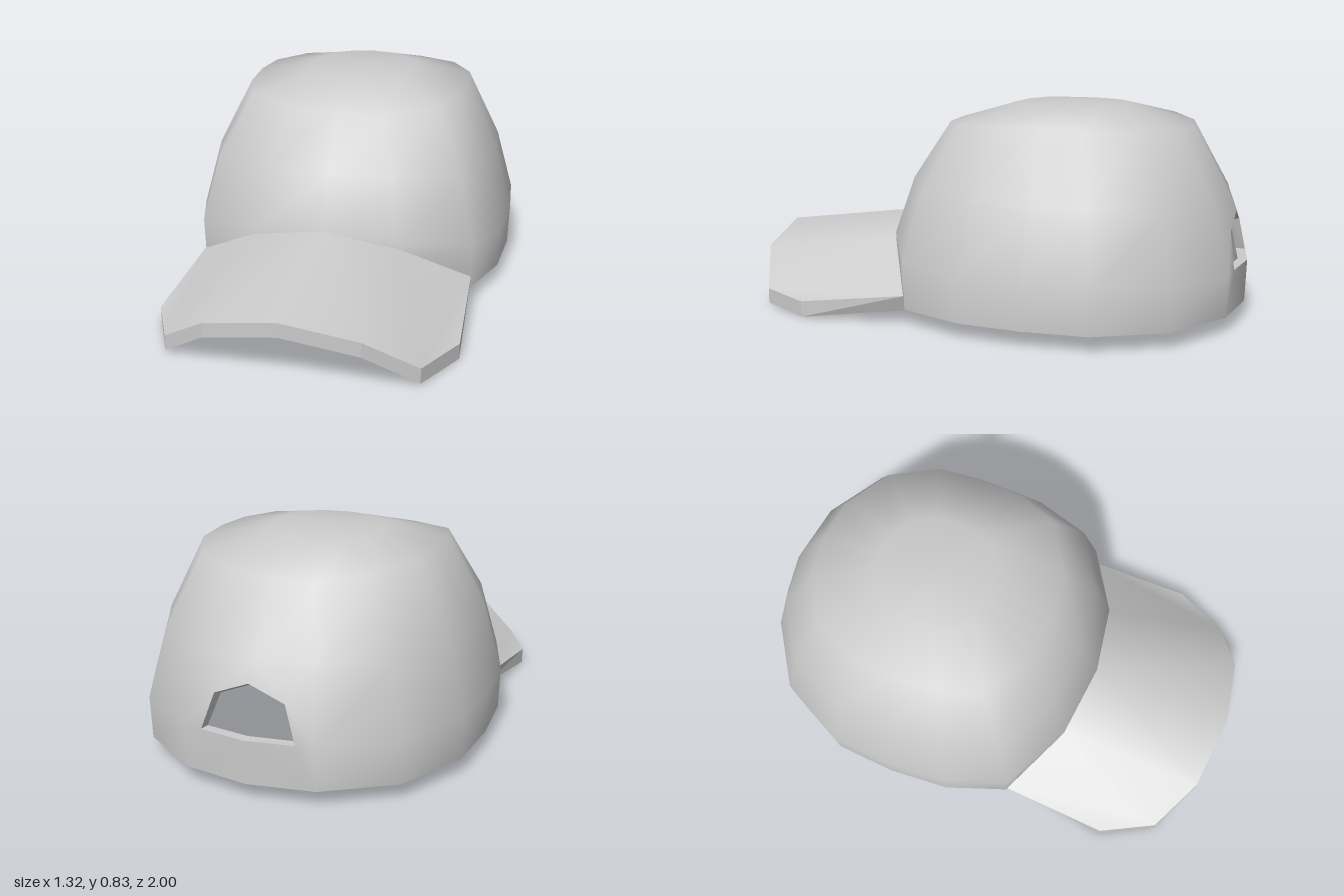
import * as THREE from 'three';
import { mergeGeometries } from 'three/addons/utils/BufferGeometryUtils.js';

const SEG = 16, CZ = -0.29;

function surface(points, tris) {
  const g = new THREE.BufferGeometry();
  g.setAttribute('position', new THREE.Float32BufferAttribute(points.flat(), 3));
  g.setIndex(tris.flat());
  g.computeVertexNormals();
  return g;
}

// Thick sheet: smooth outer and inner skins, flat walls along every open edge
function sheet(outer, inner, tris) {
  const edges = new Set();
  tris.forEach(([a, b, c]) => [[a, b], [b, c], [c, a]].forEach(e => edges.add(e.join())));
  const walls = [];
  for (const e of edges) {
    const [a, b] = e.split(',').map(Number);
    if (edges.has(`${b},${a}`)) continue;
    walls.push(outer[b], outer[a], inner[a], outer[b], inner[a], inner[b]);
  }
  const wall = new THREE.BufferGeometry();
  wall.setAttribute('position', new THREE.Float32BufferAttribute(walls.flat(), 3));
  wall.computeVertexNormals();
  return mergeGeometries([
    surface(outer, tris).toNonIndexed(),
    surface(inner, tris.map(([a, b, c]) => [a, c, b])).toNonIndexed(),
    wall,
  ]);
}

function crownGeometry() {
  // Half outline of the head opening, front to back: x, z
  const half = [[0, 0.41], [0.29, 0.37], [0.56, 0.22], [0.645, -0.03], [0.66, -0.28],
    [0.64, -0.53], [0.5, -0.8], [0.25, -0.96], [0, -1]];
  // Rings from the rim up: scale of the outline and height by position round the ring
  const rimY = [0.28, 0.22, 0.066], bandY = [0.34, 0.3, 0.25];
  const rings = [
    { s: 0.993, y: k => rimY[k] ?? 0.063 },
    { s: 1, y: k => bandY[k] ?? 0.23 },
    { s: 0.89, y: k => 0.49 + 0.05 * Math.max(0, 1 - k / 4) },
    { s: 0.685, y: k => 0.775 - 0.028 * Math.cos(k * Math.PI / 8) ** 2 },
    { s: 0.325, y: () => 0.822 },
  ];
  const pts = [];
  for (const { s, y } of rings) {
    for (let i = 0; i < SEG; i++) {
      const k = Math.min(i, SEG - i), side = i <= 8 ? 1 : -1;
      pts.push([side * half[k][0] * s, y(k), CZ + (half[k][1] - CZ) * s]);
    }
  }
  const apex = pts.push([0, 0.832, CZ]) - 1;

  const id = (r, i) => r * SEG + (i + SEG) % SEG;
  const tris = [];
  for (let i = 0; i < SEG; i++) {
    for (let r = 0; r < rings.length - 1; r++) {
      if (r < 2 && (i === 7 || i === 8)) continue; // filled around the opening below
      const a = id(r, i), b = id(r, i + 1), c = id(r + 1, i + 1), d = id(r + 1, i);
      tris.push([a, b, c], [a, c, d]);
    }
    tris.push([id(4, i), id(4, i + 1), apex]);
  }

  // Arched opening at the back, one half at a time
  const top = pts.push([0, 0.42, -0.95]) - 1;
  for (const s of [1, -1]) {
    const low = pts.push([s * 0.18, 0.23, -0.971]) - 1;
    const high = pts.push([s * 0.135, 0.365, -0.948]) - 1;
    const [p0, p1, p2] = [0, 1, 2].map(r => id(r, 8 - s));
    const [m0, m1, m2] = [0, 1, 2].map(r => id(r, 8));
    [[p0, m0, m1], [p0, m1, low], [p0, low, p1], [p1, low, high], [p1, high, p2],
      [high, top, m2], [high, m2, p2]]
      .forEach(([a, b, c]) => tris.push(s > 0 ? [a, b, c] : [a, c, b]));
  }

  // Inner skin, offset along the normals and level at the rim
  const n = surface(pts, tris).attributes.normal, t = 0.037;
  const inner = pts.map(([x, y, z], i) =>
    [x - n.getX(i) * t, i < SEG ? y : y - n.getY(i) * t, z - n.getZ(i) * t]);
  return sheet(pts, inner, tris);
}

function visorGeometry() {
  // Half of the visor: x, z, top height, bottom height; inner edge then outer edge
  const half = [
    [0, 0.41, 0.34, 0.265], [0.29, 0.37, 0.28, 0.205], [0.56, 0.22, 0.12, 0.06],
    [0, 0.995, 0.257, 0.2], [0.285, 0.96, 0.2, 0.143], [0.475, 0.86, 0.068, 0.008], [0.58, 0.65, 0.063, 0],
  ];
  const upper = [], lower = [], mirror = [];
  const add = ([x, z, yt, yb], s, isInner) => {
    const k = isInner ? 0.95 : 1; // underside reaches the inside of the crown
    lower.push([s * x * k, yb, CZ + (z - CZ) * k]);
    return upper.push([s * x, yt, z]) - 1;
  };
  half.forEach((p, i) => add(p, 1, i < 3));
  half.forEach((p, i) => mirror.push(p[0] ? add(p, -1, i < 3) : i));

  const right = [[0, 3, 4], [0, 4, 1], [1, 4, 5], [1, 5, 2], [2, 5, 6]];
  const left = right.map(([a, b, c]) => [mirror[a], mirror[c], mirror[b]]);
  return sheet(upper, lower, [...right, ...left]);
}

export function createModel() {
  const group = new THREE.Group();
  group.name = 'cap';
  const material = new THREE.MeshStandardMaterial({ color: 0xcccccc });
  for (const [name, geometry] of [['crown', crownGeometry()], ['visor', visorGeometry()]]) {
    const mesh = new THREE.Mesh(geometry, material);
    mesh.name = name;
    group.add(mesh);
  }
  return group;
}
